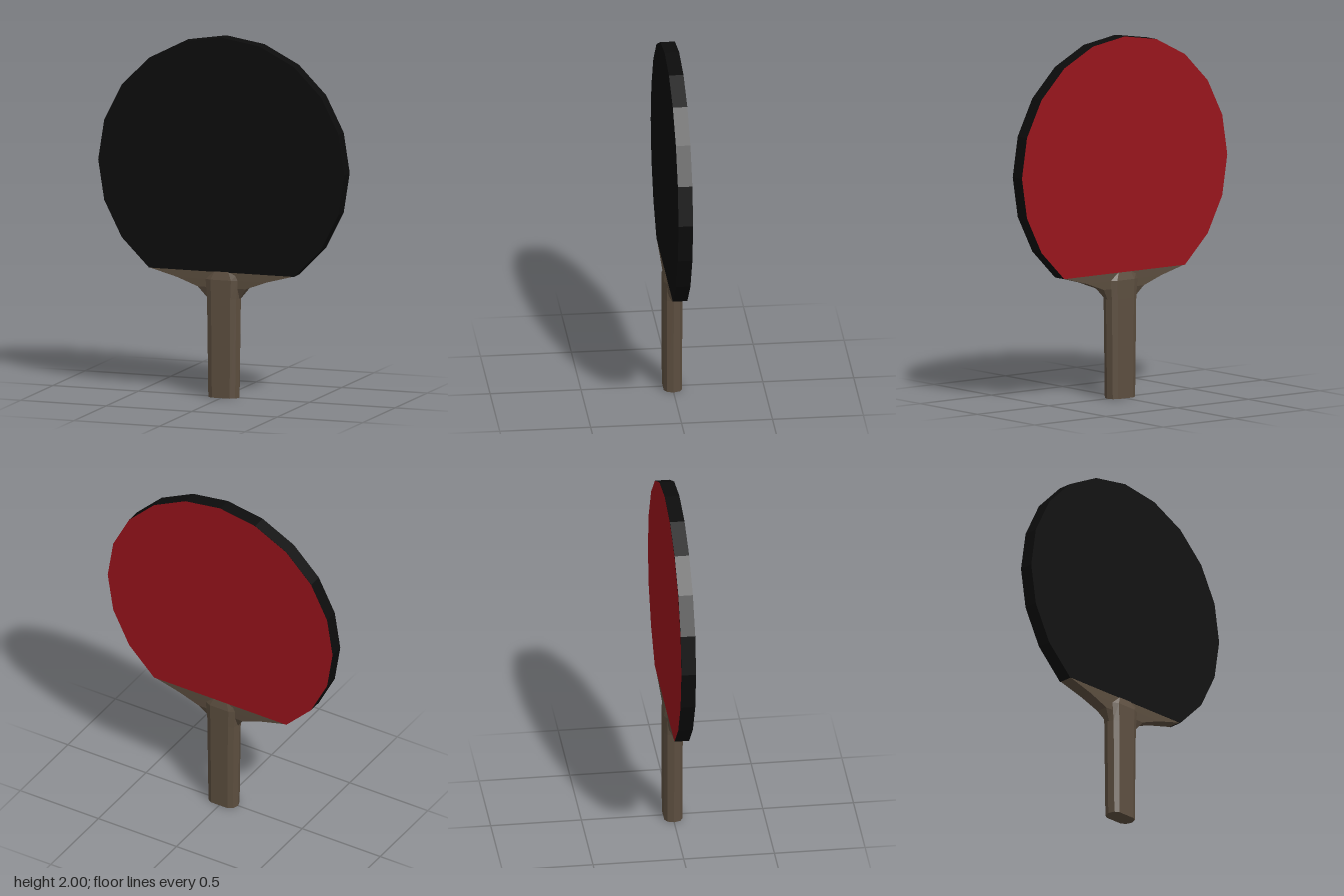
import * as THREE from 'three';

const paint = (color) => new THREE.MeshStandardMaterial({ color, flatShading: true });

// Closed skin over horizontal rings of [x, y, z] corners, capped at both ends.
function loft(rings) {
  const n = rings[0].length;
  const pos = rings.flat(2);
  const index = [];
  for (let r = 0; r < rings.length - 1; r++) {
    for (let i = 0; i < n; i++) {
      const a = r * n + i, b = r * n + (i + 1) % n;
      index.push(a, a + n, b, b, a + n, b + n);
    }
  }
  const top = (rings.length - 1) * n;
  for (let i = 1; i < n - 1; i++) {
    index.push(0, i, i + 1, top, top + i + 1, top + i);
  }
  const geo = new THREE.BufferGeometry();
  geo.setAttribute('position', new THREE.Float32BufferAttribute(pos, 3));
  geo.setIndex(index);
  const flat = geo.toNonIndexed();
  flat.computeVertexNormals();
  return flat;
}

export function createModel() {
  const group = new THREE.Group();
  const wood = paint(0x5c4e3f);
  const add = (name, geo, mat) => {
    const mesh = new THREE.Mesh(geo, mat);
    mesh.name = name;
    group.add(mesh);
  };

  // Blade: 20-sided disc with the four lowest sides cut off straight
  const radius = 0.72, centreY = 1.28, half = 0.04;
  const outline = [];
  for (let i = -8; i <= 8; i++) {
    const a = i * Math.PI / 10;
    outline.push(new THREE.Vector2(-radius * Math.sin(a), centreY + radius * Math.cos(a)));
  }
  const disc = new THREE.Shape(outline);
  const blade = new THREE.ExtrudeGeometry(disc, { depth: half * 2, bevelEnabled: false });
  blade.translate(0, 0, -half);
  add('blade', blade, paint(0x0c0c0c));

  // Red rubber sheet on the back
  const rubber = new THREE.ShapeGeometry(disc);
  rubber.rotateY(Math.PI);
  rubber.translate(0, 0, -half - 0.001);
  add('backRubber', rubber, paint(0x98141b));

  // Handle: ten-sided grip, flaring and thinning where it meets the blade
  const grip = [
    // y, half width, half depth, half width of the flat face
    [0, 0.09, 0.05, 0.052],
    [0.55, 0.098, 0.052, 0.056],
    [0.655, 0.108, 0.052, 0.06],
    [0.7, 0.112, 0.04, 0.04],
  ].map(([y, w, d, f]) => {
    const k = w * 0.87, e = d * 0.7;
    return [
      [w, y, 0], [k, y, -e], [f, y, -d], [-f, y, -d], [-k, y, -e],
      [-w, y, 0], [-k, y, e], [-f, y, d], [f, y, d], [k, y, e],
    ].reverse();
  });
  add('handle', loft(grip), wood);

  // Neck: wings spreading from the handle to the cut edge of the blade
  const neck = [
    // y, half width, half depth
    [0.55, 0.096, 0.01],
    [0.61, 0.14, 0.034],
    [0.655, 0.26, 0.037],
    [0.699, 0.422, 0.039],
  ].map(([y, w, d]) => [[-w, y, -d], [-w, y, d], [w, y, d], [w, y, -d]].reverse());
  add('neck', loft(neck), wood);

  // Fix the winding so every lofted face looks outward
  group.children.filter((m) => m.material === wood).forEach((m) => {
    const p = m.geometry.attributes.position;
    const v = (i) => new THREE.Vector3().fromBufferAttribute(p, i);
    let volume = 0;
    for (let i = 0; i < p.count; i += 3) volume += v(i).dot(v(i + 1).cross(v(i + 2)));
    if (volume < 0) {
      for (let i = 0; i < p.count; i += 3) {
        const b = v(i + 1), c = v(i + 2);
        p.setXYZ(i + 1, c.x, c.y, c.z);
        p.setXYZ(i + 2, b.x, b.y, b.z);
      }
      m.geometry.computeVertexNormals();
    }
  });
  return group;
}
